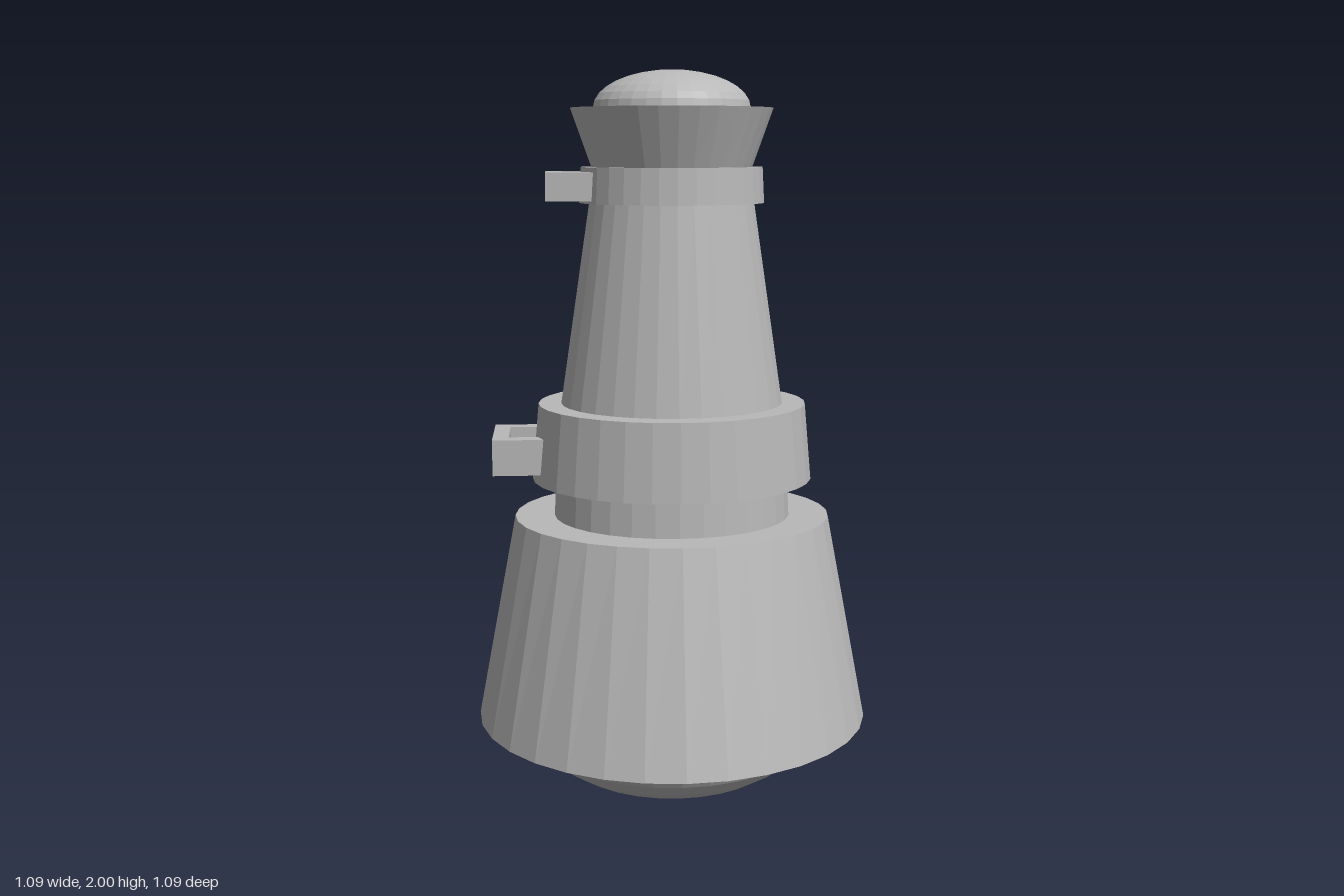
import * as THREE from 'three';

const SIDES = 32;

export function createModel() {
  const model = new THREE.Group();
  model.name = 'spottingScope';
  const grey = new THREE.MeshStandardMaterial({ color: 0xb8b8b8 });
  grey.name = 'plain grey';

  // Adds a faceted mesh
  function add(name, geometry, parent = model) {
    const flat = geometry.index ? geometry.toNonIndexed() : geometry;
    flat.computeVertexNormals();
    const mesh = new THREE.Mesh(flat, grey);
    mesh.name = name;
    parent.add(mesh);
    return mesh;
  }

  // Capped taper between two ellipses, each given as [y, x radius, z radius]
  function taper(name, [y0, rx0, rz0], [y1, rx1, rz1]) {
    const g = new THREE.CylinderGeometry(1, 1, 1, SIDES);
    const p = g.attributes.position;
    for (let i = 0; i < p.count; i++) {
      const top = p.getY(i) > 0;
      p.setXYZ(i, p.getX(i) * (top ? rx1 : rx0), top ? y1 : y0, p.getZ(i) * (top ? rz1 : rz0));
    }
    return add(name, g);
  }

  // Flattened half sphere; a negative height bulges downward
  function lens(name, y, radius, height) {
    const g = height > 0
      ? new THREE.SphereGeometry(1, SIDES, 8, 0, Math.PI * 2, 0, Math.PI / 2)
      : new THREE.SphereGeometry(1, SIDES, 8, 0, Math.PI * 2, Math.PI / 2, Math.PI / 2);
    g.scale(radius, Math.abs(height), radius);
    g.translate(0, y, 0);
    return add(name, g);
  }

  // Body, from the wide end up
  lens('frontLens', 0.215, 0.415, -0.215);
  taper('hood', [0.215, 0.547, 0.547], [0.79, 0.437, 0.396]);
  taper('neck', [0.78, 0.328, 0.3], [0.9, 0.322, 0.294]);
  taper('collar', [0.895, 0.387, 0.354], [1.105, 0.368, 0.338]);
  taper('barrel', [1.1, 0.306, 0.277], [1.66, 0.222, 0.202]);
  taper('upperRing', [1.65, 0.25, 0.23], [1.745, 0.245, 0.225]);
  taper('eyeCup', [1.74, 0.215, 0.205], [1.9, 0.272, 0.27]);
  lens('eyeLens', 1.9, 0.211, 0.1);

  // Square strap loops on the right side
  function strapLoop(name, xOuter, xInner, y, height) {
    const loop = new THREE.Group();
    loop.name = name;
    const zBack = -0.132, zFront = 0.108, bar = 0.044;
    const length = xInner - xOuter;
    const box = (part, w, d, x, z) =>
      add(part, new THREE.BoxGeometry(w, height, d).translate(x, y, z), loop);
    box('outerBar', bar, zFront - zBack, xOuter + bar / 2, (zFront + zBack) / 2);
    for (const [part, z] of [['backArm', zBack + bar / 2], ['frontArm', zFront - bar / 2]]) {
      box(part, length - bar, bar, xOuter + (length + bar) / 2, z);
    }
    model.add(loop);
  }
  strapLoop('lowerStrapLoop', -0.493, -0.33, 0.973, 0.098);
  strapLoop('upperStrapLoop', -0.34, -0.19, 1.695, 0.075);

  return model;
}
